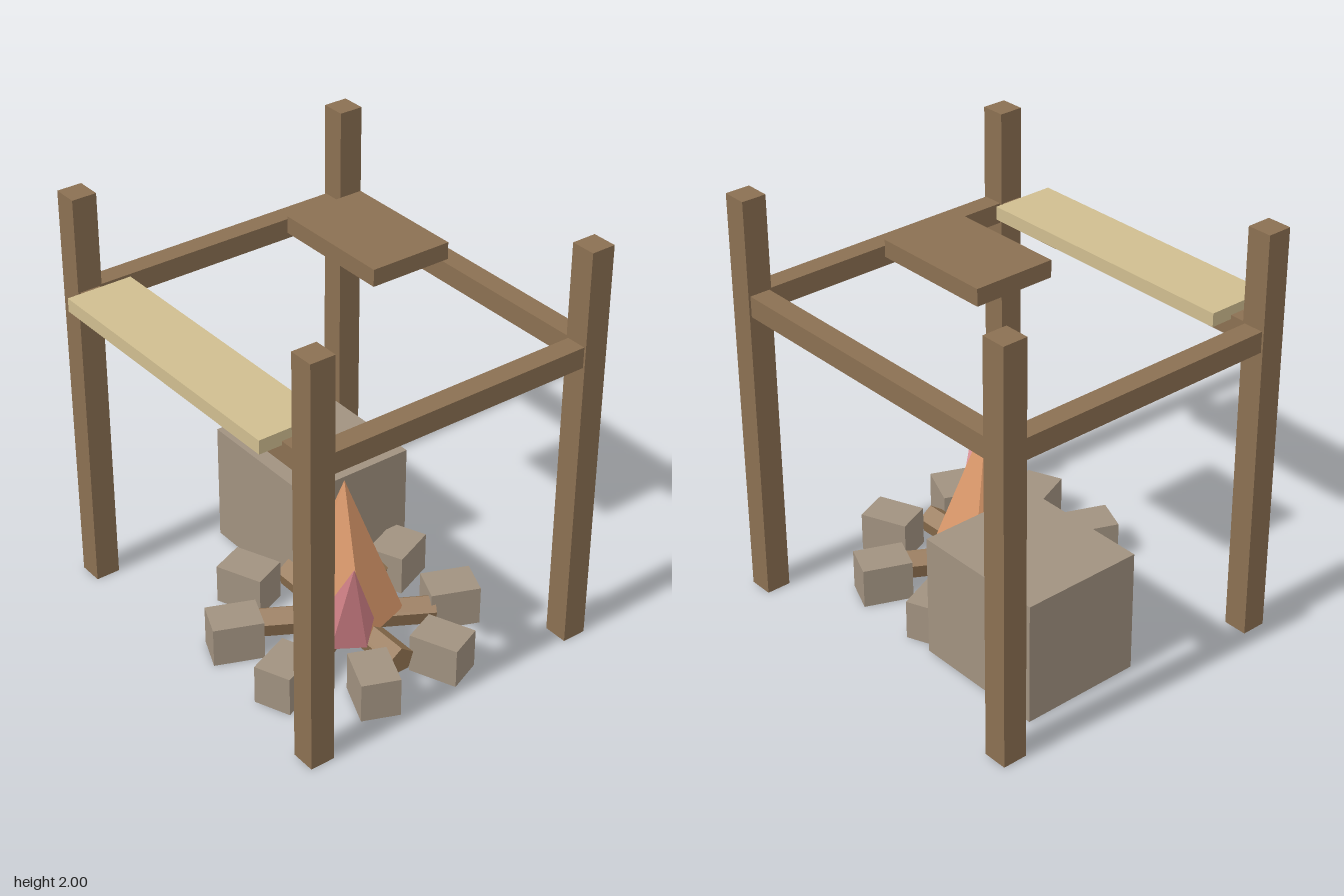
import * as THREE from 'three';

const mat = (color) => new THREE.MeshStandardMaterial({ color, flatShading: true });

export function createModel() {
  const model = new THREE.Group();
  const wood = mat(0x8b7052), logWood = mat(0x947553), tan = mat(0xd0be90), stone = mat(0xa19280);

  const add = (name, geometry, material, x, y, z, parent = model) => {
    const mesh = new THREE.Mesh(geometry, material);
    mesh.name = name;
    mesh.position.set(x, y, z);
    parent.add(mesh);
    return mesh;
  };
  const box = (name, w, h, d, material, x, y, z, parent) =>
    add(name, new THREE.BoxGeometry(w, h, d), material, x, y, z, parent);

  // Frame: four posts joined by four beams
  const frame = new THREE.Group();
  frame.name = 'frame';
  model.add(frame);
  for (const x of [-0.84, 0.84]) {
    for (const z of [-0.77, 0.67]) box('post', 0.12, 2, 0.12, wood, x, 1, z, frame);
    box('sideBeam', 0.1, 0.1, 1.32, wood, x, 1.5, -0.05, frame);
  }
  for (const z of [-0.77, 0.67]) box('crossBeam', 1.56, 0.1, 0.1, wood, 0, 1.5, z, frame);

  // Counter, hanging board and stone block
  box('counter', 1.4, 0.065, 0.32, tan, 0, 1.563, 0.67);
  box('signBoard', 0.6, 0.08, 0.4, wood, 0, 1.84, -0.25);
  box('stoneBlock', 0.68, 0.6, 0.6, stone, -0.4, 0.3, -0.25);

  // Campfire
  const fire = new THREE.Group();
  fire.name = 'campfire';
  fire.position.set(0.24, 0, 0.05);
  model.add(fire);

  // Ring of stones, each facing the centre
  for (let i = 0; i < 8; i++) {
    const a = (i + 0.5) * Math.PI / 4;
    const s = box('ringStone', 0.235, 0.195, 0.18, stone,
      0.507 * Math.cos(a), 0.0975, 0.507 * Math.sin(a), fire);
    s.rotation.y = -a;
  }

  // Three crossed five-sided logs, ridge upwards
  for (let i = 0; i < 3; i++) {
    const g = new THREE.CylinderGeometry(0.07, 0.07, 0.84, 5).rotateX(-Math.PI / 2);
    add('log', g, logWood, 0, 0.1, 0, fire).rotation.y = Math.PI / 2 + i * Math.PI / 3;
  }

  // Flames: five-sided cones leaning from a base centre to a tip
  const flame = (name, base, tip, radius, yaw, color) => {
    const from = new THREE.Vector3(...base);
    const axis = new THREE.Vector3(...tip).sub(from);
    const h = axis.length();
    const g = new THREE.ConeGeometry(radius, h, 5).translate(0, h / 2, 0).rotateY(yaw);
    const mesh = add(name, g, mat(color), ...base, fire);
    mesh.quaternion.setFromUnitVectors(new THREE.Vector3(0, 1, 0), axis.normalize());
  };
  flame('mainFlame', [0, 0.14, 0], [0, 0.84, 0], 0.27, 0, 0xda986a);
  flame('redFlame', [0.177, 0.195, 0.122], [0.308, 0.615, 0.183], 0.137, 0.41, 0xd08086);
  flame('yellowFlame', [-0.16, 0.17, -0.123], [-0.242, 0.545, -0.13], 0.1, -0.2, 0xd8cb8e);

  return model;
}
